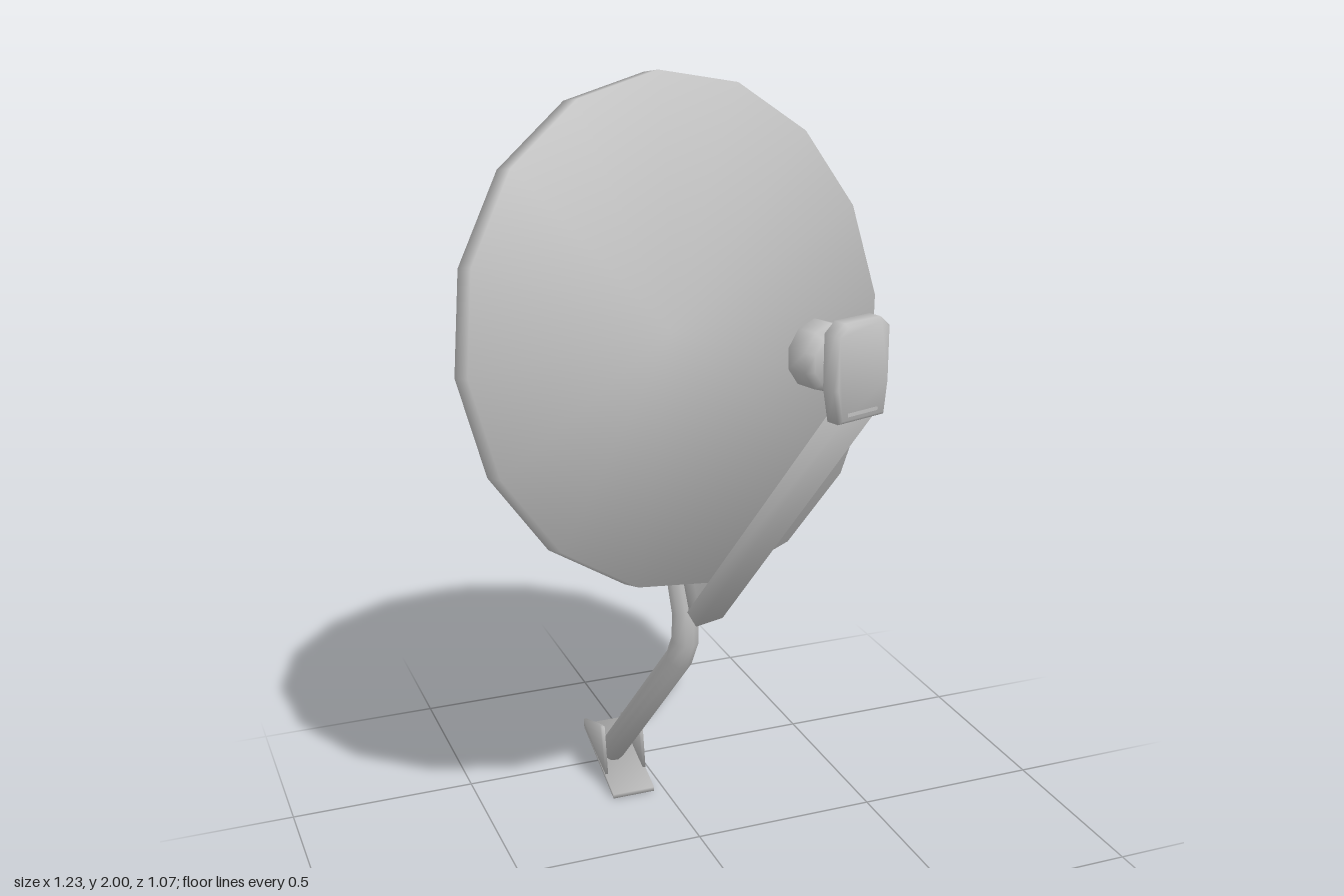
import * as THREE from 'three';
import { mergeVertices } from 'three/addons/utils/BufferGeometryUtils.js';

const metal = new THREE.MeshStandardMaterial({ color: 0xbfbfbf });
metal.name = 'greyMetal';

// Share corners and average the face normals by corner angle, so shading runs softly over all edges
function soften(geometry) {
  geometry.deleteAttribute('normal');
  geometry.deleteAttribute('uv');
  const g = mergeVertices(geometry, 1e-4);
  const pos = g.attributes.position;
  const sums = Array.from({ length: pos.count }, () => new THREE.Vector3());
  const point = (i) => new THREE.Vector3().fromBufferAttribute(pos, i);
  for (let f = 0; f < g.index.count; f += 3) {
    const ids = [0, 1, 2].map((k) => g.index.getX(f + k));
    const p = ids.map(point);
    const normal = p[1].clone().sub(p[0]).cross(p[2].clone().sub(p[0]));
    if (normal.length() < 1e-9) continue;
    normal.normalize();
    ids.forEach((id, k) => {
      const a = p[(k + 1) % 3].clone().sub(p[k]), b = p[(k + 2) % 3].clone().sub(p[k]);
      sums[id].addScaledVector(normal, a.angleTo(b));
    });
  }
  const normals = sums.flatMap((v) => v.normalize().toArray());
  g.setAttribute('normal', new THREE.Float32BufferAttribute(normals, 3));
  return g;
}

function add(parent, name, geometry, x = 0, y = 0, z = 0) {
  const mesh = new THREE.Mesh(soften(geometry), metal);
  mesh.name = name;
  mesh.position.set(x, y, z);
  parent.add(mesh);
  return mesh;
}

// Turned part whose axis points along +z; profile is [radius, z] from back to front
function turned(profile, sides) {
  const g = new THREE.LatheGeometry(profile.map(([r, z]) => new THREE.Vector2(r, z)), sides);
  return g.rotateX(Math.PI / 2);
}

// Rectangular bar in the plane x = 0, between two [y, z] points
function bar(parent, name, [y0, z0], [y1, z1], width, thick) {
  const length = Math.hypot(y1 - y0, z1 - z0);
  const box = new THREE.BoxGeometry(width, length, thick);
  const mesh = add(parent, name, box, 0, (y0 + y1) / 2, (z0 + z1) / 2);
  mesh.rotation.x = Math.atan2(z1 - z0, y1 - y0);
}

// Closed round pipe in the plane x = 0: each ring of a cylinder moves to one [y, z] point
function pipe(path, radius, sides) {
  const last = path.length - 1;
  const g = new THREE.CylinderGeometry(radius, radius, 1, sides, last);
  const pos = g.attributes.position;
  for (let v = 0; v < pos.count; v++) {
    const i = Math.round((pos.getY(v) + 0.5) * last);
    const a = path[Math.max(i - 1, 0)], b = path[Math.min(i + 1, last)];
    const t = new THREE.Vector2(b[0] - a[0], b[1] - a[1]).normalize();
    const r = pos.getZ(v);
    pos.setXYZ(v, pos.getX(v), path[i][0] - t.y * r, path[i][1] + t.x * r);
  }
  return g;
}

export function createModel() {
  const model = new THREE.Group();
  model.name = 'satelliteDish';

  // Everything above the foot is turned towards the model's left
  const head = new THREE.Group();
  head.name = 'head';
  head.position.z = -0.085;
  head.rotation.y = THREE.MathUtils.degToRad(17.5);
  model.add(head);

  // Reflector: shallow bowl with a soft rim, tilted up
  const R = 0.638;
  const dish = new THREE.Group();
  dish.name = 'dish';
  dish.position.set(0.005, 1.373, 0);
  dish.rotation.x = THREE.MathUtils.degToRad(-10.5);
  head.add(dish);
  add(dish, 'reflector', turned([[0, -0.14], [R, -0.058], [R, 0], [0, -0.065]], 16));
  add(dish, 'bracketPlate', new THREE.BoxGeometry(0.25, 0.16, 0.024), 0, -0.235, -0.122);

  // Feed arm: long bar to the front, short leg up behind the dish
  bar(head, 'feedArm', [0.64, 0.071], [1.34, 0.61], 0.088, 0.046);
  bar(head, 'armLeg', [0.645, 0.075], [1.12, -0.07], 0.07, 0.045);

  // Feed holder, neck and horn
  const holder = new THREE.Shape([
    [-0.06, -0.112], [0.065, -0.112], [0.074, -0.04], [0.074, 0.08],
    [0.05, 0.1], [-0.05, 0.1], [-0.074, 0.08], [-0.074, -0.04],
  ].map(([x, y]) => new THREE.Vector2(x, y)));
  add(head, 'feedHolder', new THREE.ExtrudeGeometry(holder, {
    depth: 0.034, bevelEnabled: true, bevelSize: 0.008, bevelThickness: 0.008, bevelSegments: 1,
  }), 0, 1.425, 0.582);
  add(head, 'feedNeck', turned([[0, -0.05], [0.036, -0.05], [0.036, 0.05], [0, 0.05]], 8), 0, 1.425, 0.55);
  add(head, 'feedHorn', turned([
    [0, -0.044], [0.064, -0.044], [0.08, -0.028], [0.08, 0.028], [0.064, 0.044], [0, 0.044],
  ], 10), 0, 1.425, 0.488);

  // Bent mast
  add(head, 'mast', pipe([
    [0.075, -0.35], [0.48, -0.037], [0.54, -0.012], [0.62, -0.01], [1.16, -0.138],
  ], 0.037, 10));

  // Foot: sloping base plate with two upright cheeks
  const foot = new THREE.Group();
  foot.name = 'foot';
  model.add(foot);
  const side = (points, width) => {
    const shape = new THREE.Shape(points.map(([y, z]) => new THREE.Vector2(-z, y)));
    return new THREE.ExtrudeGeometry(shape, { depth: width, bevelEnabled: false }).rotateY(Math.PI / 2);
  };
  add(foot, 'basePlate', side([[0, -0.275], [0.096, -0.535], [0.108, -0.535], [0.012, -0.275]], 0.12), -0.15);
  const cheek = [[0.04, -0.345], [0.1, -0.535], [0.122, -0.537], [0.175, -0.385], [0.178, -0.368]];
  for (const x of [-0.15, -0.038]) add(foot, 'footCheek', side(cheek, 0.008), x);

  return model;
}
